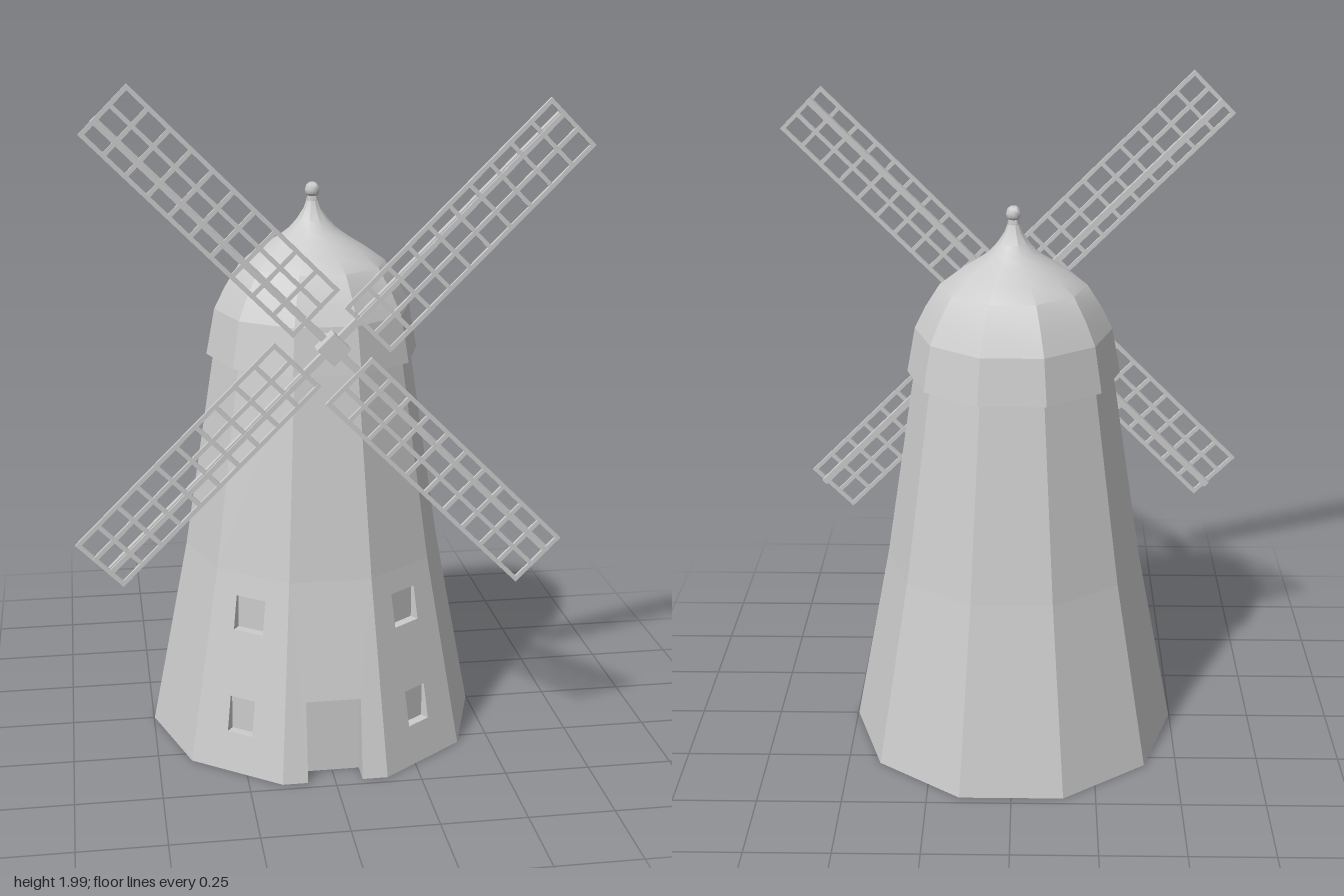
import * as THREE from 'three';
import { mergeGeometries, toCreasedNormals } from 'three/addons/utils/BufferGeometryUtils.js';

const SIDES = 10;
const STEP = (Math.PI * 2) / SIDES;
const material = new THREE.MeshStandardMaterial({ color: 0xcccccc });
// Tower rings: [height, corner radius]
const RINGS = [[0, 0.498], [0.58, 0.386], [1.19, 0.292]];
const DOOR = { s0: -0.08, s1: 0.08, y0: 0, y1: 0.235, back: 0.405 };
const WINDOWS = [
  { s0: -0.041, s1: 0.041, y0: 0.115, y1: 0.22, back: 0.425 },
  { s0: -0.048, s1: 0.048, y0: 0.415, y1: 0.515, back: 0.37 },
];

function radiusAt(y) {
  const i = y <= RINGS[1][0] ? 0 : 1;
  const [y0, r0] = RINGS[i], [y1, r1] = RINGS[i + 1];
  return r0 + ((r1 - r0) * (y - y0)) / (y1 - y0);
}
const wallAt = (y) => radiusAt(y) * Math.cos(STEP / 2);
const halfWidth = (y) => radiusAt(y) * Math.sin(STEP / 2);

// Point on a wall facing angle a: s sideways, y up, dist from the tower axis
function wallPoint(a, s, y, dist = wallAt(y)) {
  const c = Math.cos(a), n = Math.sin(a);
  return new THREE.Vector3(c * dist + n * s, y, n * dist - c * s);
}

function mesh(name, geometry) {
  const m = new THREE.Mesh(geometry, material);
  m.name = name;
  return m;
}

function flat(geometry) {
  const g = geometry.index ? geometry.toNonIndexed() : geometry;
  g.deleteAttribute('uv');
  g.computeVertexNormals();
  return g;
}

function rectPath(o) {
  return new THREE.Path([
    [o.s0, o.y0], [o.s0, o.y1], [o.s1, o.y1], [o.s1, o.y0],
  ].map(([x, y]) => new THREE.Vector2(x, y)));
}

// One wall panel between two heights, with optional window holes and door notch
function wallPanel(a, y0, y1, windows, door) {
  const w0 = halfWidth(y0), w1 = halfWidth(y1);
  const pts = [[-w0, y0]];
  if (door) pts.push([door.s0, 0], [door.s0, door.y1], [door.s1, door.y1], [door.s1, 0]);
  pts.push([w0, y0], [w1, y1], [-w1, y1]);
  const shape = new THREE.Shape(pts.map(([x, y]) => new THREE.Vector2(x, y)));
  shape.holes = windows.map(rectPath);
  const g = new THREE.ShapeGeometry(shape);
  const p = g.attributes.position;
  for (let i = 0; i < p.count; i++) {
    const v = wallPoint(a, p.getX(i), p.getY(i));
    p.setXYZ(i, v.x, v.y, v.z);
  }
  return flat(g);
}

// Recess behind an opening: upright back, two jambs, lintel and sill
function recess(a, o, hasSill) {
  const corners = [[o.s0, o.y0], [o.s1, o.y0], [o.s1, o.y1], [o.s0, o.y1]];
  const front = corners.map(([s, y]) => wallPoint(a, s, y));
  const back = corners.map(([s, y]) => wallPoint(a, s, y, o.back));
  const quads = [back];
  for (let i = hasSill ? 0 : 1; i < 4; i++) {
    const j = (i + 1) % 4;
    quads.push([front[i], front[j], back[j], back[i]]);
  }
  const pts = quads.flatMap(([p, q, r, s]) => [p, q, r, p, r, s]);
  return flat(new THREE.BufferGeometry().setFromPoints(pts));
}

function buildTower() {
  const tower = new THREE.Group();
  tower.name = 'tower';
  const panels = [];
  for (let k = 0; k < SIDES; k++) {
    const a = (k + 0.5) * STEP;
    const windows = k === 1 || k === 3 ? WINDOWS : [];
    const door = k === 2 ? DOOR : null;
    panels.push(wallPanel(a, RINGS[0][0], RINGS[1][0], windows, door));
    panels.push(wallPanel(a, RINGS[1][0], RINGS[2][0], [], null));
    windows.forEach((w) => tower.add(mesh('windowRecess', recess(a, w, true))));
    if (door) tower.add(mesh('doorRecess', recess(a, door, false)));
  }
  tower.add(mesh('walls', mergeGeometries(panels)));

  // Underside, notched where the door is cut
  const base = new THREE.Shape();
  for (let k = 0; k < SIDES; k++) {
    const x = RINGS[0][1] * Math.cos(k * STEP), z = RINGS[0][1] * Math.sin(k * STEP);
    if (k === 0) base.moveTo(x, z);
    else base.lineTo(x, z);
    if (k === 2) {
      base.lineTo(DOOR.s1, wallAt(0));
      base.lineTo(DOOR.s1, DOOR.back);
      base.lineTo(DOOR.s0, DOOR.back);
      base.lineTo(DOOR.s0, wallAt(0));
    }
  }
  tower.add(mesh('floor', flat(new THREE.ShapeGeometry(base).rotateX(Math.PI / 2))));
  return tower;
}

function lathe(points, sides, crease) {
  const pts = points.map(([r, y]) => new THREE.Vector2(r, y));
  const g = new THREE.LatheGeometry(pts, sides, Math.PI / 2);
  g.deleteAttribute('uv');
  return toCreasedNormals(g, crease);
}

function buildCap() {
  const cap = new THREE.Group();
  cap.name = 'cap';
  cap.add(mesh('capSkirt', lathe([[0.28, 1.17], [0.315, 1.17], [0.29, 1.305]], SIDES, 0.3)));
  cap.add(mesh('dome', lathe([
    [0.29, 1.305], [0.258, 1.37], [0.215, 1.438], [0.16, 1.478], [0.105, 1.512],
    [0.07, 1.538], [0.046, 1.565], [0.026, 1.595], [0.015, 1.625],
  ], SIDES, 0.5)));
  cap.add(mesh('finial', lathe([
    [0.014, 1.605], [0.018, 1.622], [0.014, 1.632], [0.02, 1.638], [0.022, 1.65],
    [0.017, 1.664], [0.009, 1.67], [0, 1.671],
  ], 12, 1)));
  return cap;
}

function bar(u0, u1, v0, v1, z0, z1) {
  return new THREE.BoxGeometry(u1 - u0, v1 - v0, z1 - z0)
    .translate((u0 + u1) / 2, (v0 + v1) / 2, (z0 + z1) / 2);
}

// One sail lying along +x: a stock with an off-centre lattice in front of it
function buildSail() {
  const sail = new THREE.Group();
  sail.name = 'sail';
  const U0 = 0.1, U1 = 0.888, V0 = -0.127, V1 = 0.055, T = 0.012, CELLS = 10;
  const bars = [];
  for (const v of [V0, -0.064, -T / 2, V1 - T]) bars.push(bar(U0, U1, v, v + T, 0.384, 0.395));
  for (let i = 0; i <= CELLS; i++) {
    const u = U0 + ((U1 - U0 - T) * i) / CELLS;
    bars.push(bar(u, u + T, V0, V1, 0.385, 0.394));
  }
  sail.add(mesh('lattice', mergeGeometries(bars)));
  sail.add(mesh('stock', bar(0, U1, -0.01, 0.01, 0.368, 0.388)));
  return sail;
}

function buildSails() {
  const sails = new THREE.Group();
  sails.name = 'sails';
  sails.position.y = 1.276;
  for (let k = 0; k < 4; k++) {
    const sail = buildSail();
    sail.rotation.z = Math.PI / 4 + (k * Math.PI) / 2;
    sails.add(sail);
  }
  const hub = mesh('hub', bar(-0.033, 0.033, -0.033, 0.033, 0.37, 0.422));
  hub.rotation.z = Math.PI / 4;
  sails.add(hub, mesh('axle', bar(-0.014, 0.014, -0.014, 0.014, 0.2, 0.375)));
  return sails;
}

export function createModel() {
  const model = new THREE.Group();
  model.name = 'windmill';
  model.add(buildTower(), buildCap(), buildSails());
  return model;
}
